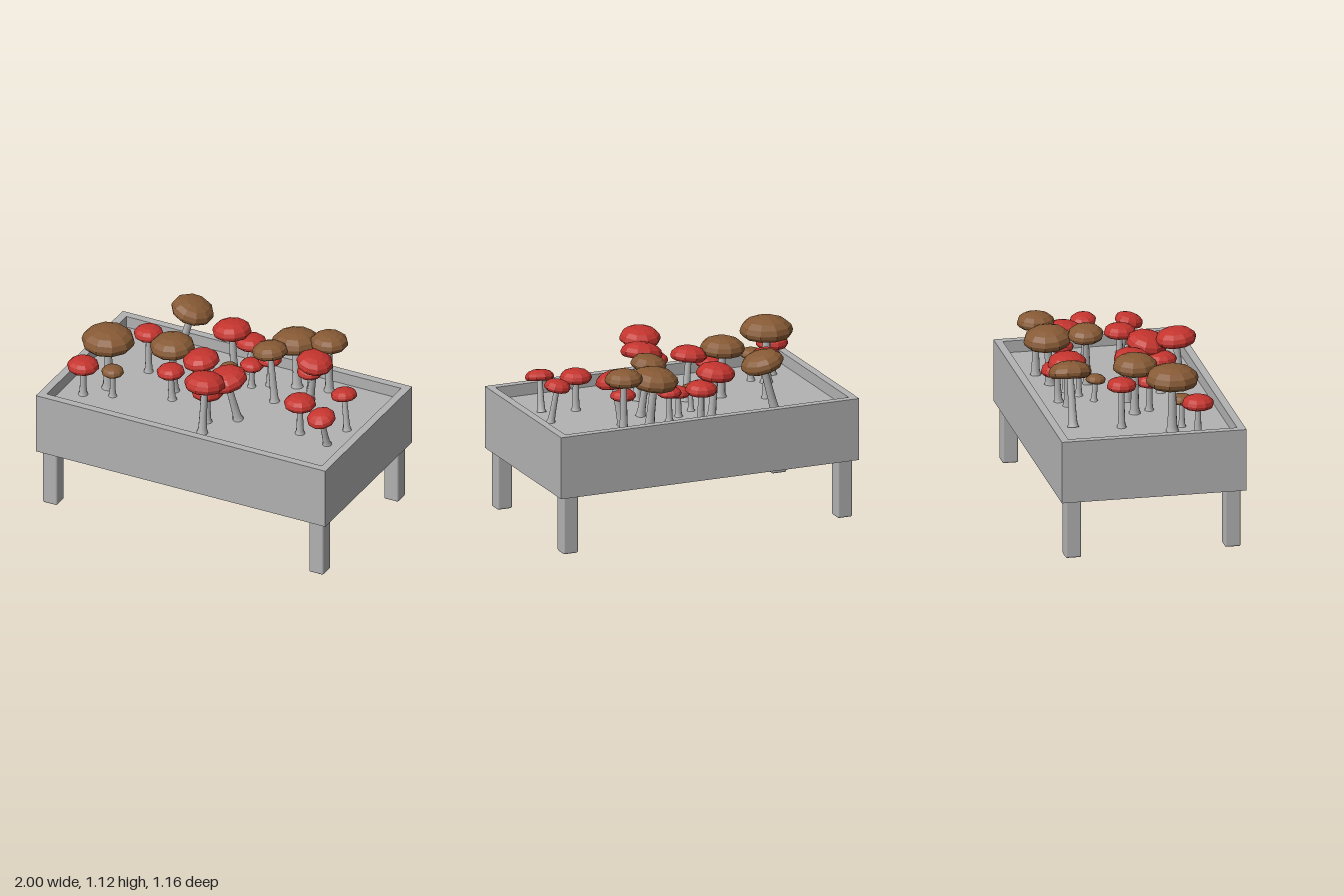
import * as THREE from 'three';
import { RoundedBoxGeometry } from 'three/addons/geometries/RoundedBoxGeometry.js';

const grey = new THREE.MeshStandardMaterial({ color: 0xb2b2b2 });
grey.name = 'plain grey';
const stemGrey = new THREE.MeshStandardMaterial({ color: 0xb4b4b4 });
stemGrey.name = 'stem grey';
const red = new THREE.MeshStandardMaterial({ color: 0xc4342e, flatShading: true });
red.name = 'cap red';
const brown = new THREE.MeshStandardMaterial({ color: 0x875a35, flatShading: true });
brown.name = 'cap brown';
const gill = new THREE.MeshStandardMaterial({ color: 0xa39c86, flatShading: true });
gill.name = 'gill beige';

const SOIL = 0.69;
const CAP_HEIGHT = 0.78; // relative to the cap radius

// Cap x, cap z, cap radius, top height, then offset of the stem's foot in x and z
const brownCaps = [
  [-0.71, 0.175, 0.165, 1.115, 0.0, 0.0],
  [-0.435, -0.405, 0.135, 1.09, -0.08, 0.0],
  [-0.345, 0.02, 0.14, 1.075, 0.01, 0.0],
  [0.51, -0.42, 0.118, 1.095, 0.0, 0.0],
  [0.295, -0.39, 0.15, 1.07, 0.02, 0.02],
  [0.235, -0.165, 0.112, 1.085, 0.04, 0.02],
  [-0.05, -0.165, 0.063, 0.86, 0.0, -0.01],
  [-0.64, 0.25, 0.07, 0.9, 0.0, 0.0],
];
const redCaps = [
  [-0.81, 0.315, 0.1, 0.945, 0.0, 0.0],
  [-0.58, -0.115, 0.093, 1.01, 0.0, 0.0],
  [-0.13, -0.36, 0.122, 1.04, 0.02, 0.01],
  [-0.02, -0.4, 0.1, 0.95, 0.0, 0.01],
  [0.065, -0.245, 0.075, 0.88, 0.0, 0.0],
  [0.155, -0.31, 0.075, 0.91, 0.0, 0.0],
  [-0.13, 0.045, 0.115, 1.035, 0.03, -0.02],
  [-0.305, 0.12, 0.088, 0.93, 0.01, 0.0],
  [0.125, 0.19, 0.13, 1.05, 0.05, -0.04],
  [0.02, 0.26, 0.1, 0.955, 0.0, 0.0],
  [0.055, 0.365, 0.128, 1.09, 0.0, 0.03],
  [0.495, -0.25, 0.115, 1.035, -0.04, -0.02],
  [0.8, -0.06, 0.083, 0.965, 0.03, 0.02],
  [0.59, 0.125, 0.1, 0.955, 0.0, 0.0],
  [0.79, 0.22, 0.09, 0.95, 0.01, -0.05],
  [0.45, -0.275, 0.08, 0.922, 0.0, 0.0],
];

const lathe = (pts, n) => new THREE.LatheGeometry(pts.map(([x, y]) => new THREE.Vector2(x, y)), n);
const capGeometry = lathe([[0.85, 0], [0.97, 0.12], [1, 0.25], [0.93, 0.45], [0.72, 0.63], [0.4, 0.745], [0, CAP_HEIGHT]], 10);
const gillGeometry = lathe([[0, 0.08], [0.85, 0]], 10);
// Stem of unit length with a flared foot
const stemGeometry = lathe([[1.5, 0], [1.15, 0.1], [1, 0.35], [0.85, 1]], 10);

function add(parent, name, geometry, material, x = 0, y = 0, z = 0) {
  const mesh = new THREE.Mesh(geometry, material);
  mesh.name = name;
  mesh.position.set(x, y, z);
  parent.add(mesh);
  return mesh;
}

function mushroom([x, z, r, top, dx, dz], material) {
  const group = new THREE.Group();
  const foot = new THREE.Vector3(x + dx, SOIL, z + dz);
  const axis = new THREE.Vector3(x, top - CAP_HEIGHT * r, z).sub(foot);
  const length = axis.length();
  group.position.copy(foot);
  group.quaternion.setFromUnitVectors(new THREE.Vector3(0, 1, 0), axis.normalize());
  const s = 0.011 + 0.1 * r;
  add(group, 'stem', stemGeometry, stemGrey).scale.set(s, length + 0.08 * r, s);
  add(group, 'cap', capGeometry, material, 0, length).scale.setScalar(r);
  add(group, 'gills', gillGeometry, gill, 0, length).scale.setScalar(r);
  return group;
}

function rectangle(PathType, w, d) {
  return new PathType([[-w, -d], [w, -d], [w, d], [-w, d]].map(([x, y]) => new THREE.Vector2(x, y)));
}

export function createModel() {
  const model = new THREE.Group();
  model.name = 'mushroomPlanter';

  // Walls of the raised bed, open at the top
  const frame = rectangle(THREE.Shape, 1, 0.58);
  frame.holes.push(rectangle(THREE.Path, 0.95, 0.53));
  const walls = new THREE.ExtrudeGeometry(frame, { depth: 0.395, bevelEnabled: false });
  walls.rotateX(-Math.PI / 2);
  add(model, 'bedWalls', walls, grey, 0, 0.37, 0);

  // Filling, recessed below the rim
  const depth = SOIL - 0.37;
  add(model, 'soil', new THREE.BoxGeometry(1.9, depth, 1.06), grey, 0, 0.37 + depth / 2, 0);

  // Four legs
  const leg = new RoundedBoxGeometry(0.1, 0.37, 0.1, 2, 0.012);
  for (const x of [-0.92, 0.92]) {
    for (const z of [-0.5, 0.5]) add(model, 'leg', leg, grey, x, 0.185, z);
  }

  // Mushrooms
  for (const [specs, material, name] of [[brownCaps, brown, 'brownMushroom'], [redCaps, red, 'redMushroom']]) {
    for (const spec of specs) {
      const m = mushroom(spec, material);
      m.name = name;
      model.add(m);
    }
  }
  return model;
}
